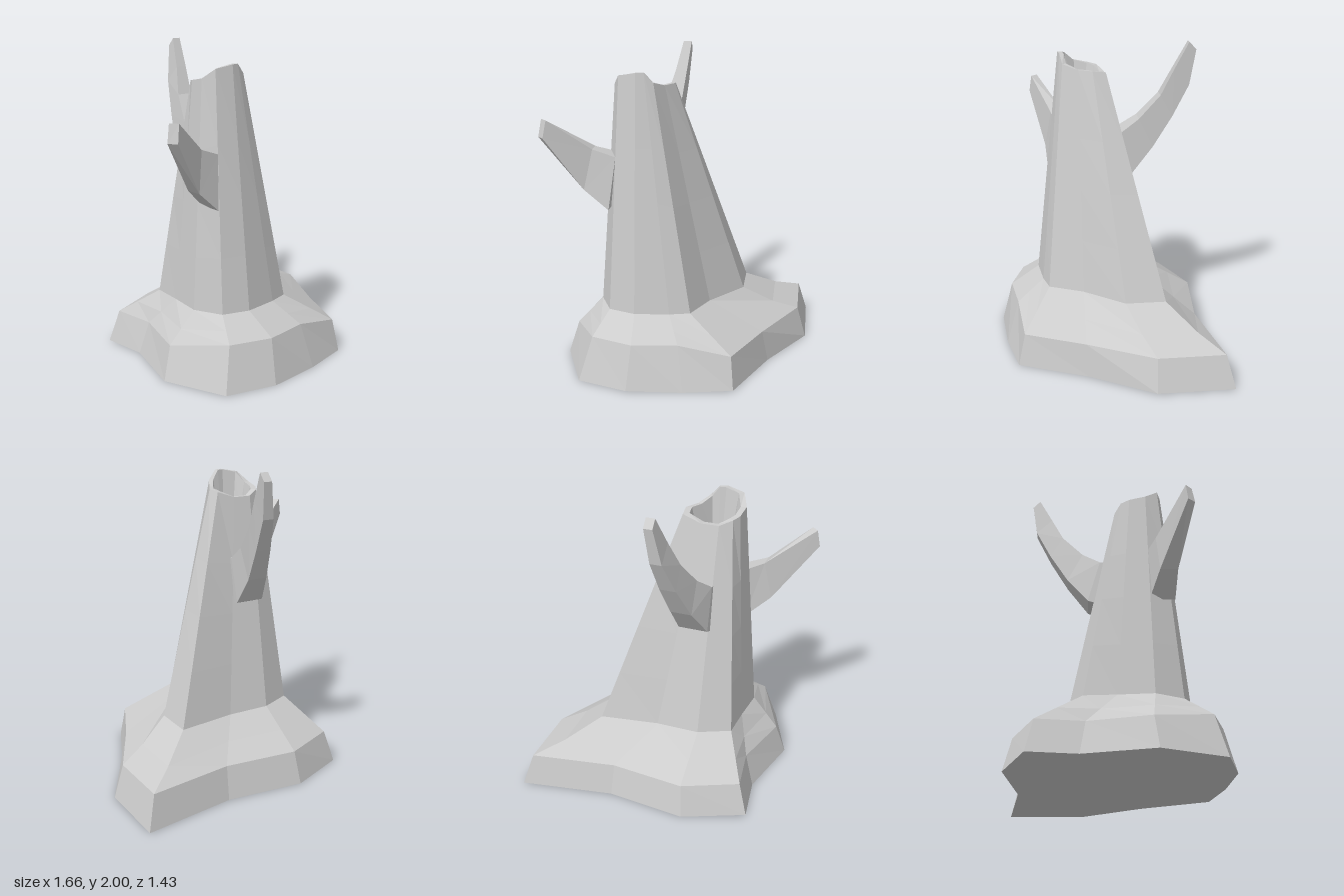
import * as THREE from 'three';

const material = new THREE.MeshStandardMaterial({ color: 0xcccccc, flatShading: true });

// Skins a list of equal-length rings of [x, y, z] and closes both ends.
// Rings run clockwise when seen from the last ring.
function loft(name, rings) {
  const pos = [];
  const tri = (...p) => p.forEach(v => pos.push(...v));
  const n = rings[0].length;
  const mid = r => [0, 1, 2].map(k => r.reduce((s, p) => s + p[k], 0) / n);
  const first = rings[0], last = rings[rings.length - 1];
  for (let j = 0; j < n; j++) {
    const k = (j + 1) % n;
    for (let i = 0; i < rings.length - 1; i++) {
      const lo = rings[i], hi = rings[i + 1];
      tri(lo[j], hi[j], hi[k]);
      tri(lo[j], hi[k], lo[k]);
    }
    tri(mid(first), first[j], first[k]);
    tri(mid(last), last[k], last[j]);
  }
  const geo = new THREE.BufferGeometry();
  geo.setAttribute('position', new THREE.Float32BufferAttribute(pos, 3));
  geo.computeVertexNormals();
  const mesh = new THREE.Mesh(geo, material);
  mesh.name = name;
  return mesh;
}

const mix = (a, b, t) => a.map((p, j) => p.map((v, k) => v + (b[j][k] - v) * t));

// Outlines start at the back left corner and pass the back, the model's left and the front.
function createTrunk() {
  const ground = [
    [-0.67, -0.51], [-0.28, -0.67], [0.23, -0.62], [0.83, -0.72], [0.83, -0.23], [0.59, 0.17],
    [0.40, 0.61], [0.09, 0.68], [-0.26, 0.71], [-0.58, 0.62], [-0.745, 0.225], [-0.63, -0.21],
  ].map(([x, z]) => [x, 0, z]);
  const shoulder = [
    [-0.61, 0.21, -0.47], [-0.26, 0.21, -0.62], [0.22, 0.21, -0.575], [0.77, 0.21, -0.665],
    [0.77, 0.21, -0.235], [0.55, 0.21, 0.185], [0.38, 0.21, 0.565], [0.05, 0.28, 0.60],
    [-0.235, 0.28, 0.64], [-0.50, 0.28, 0.555], [-0.68, 0.21, 0.20], [-0.57, 0.21, -0.18],
  ];
  const foot = [
    [-0.465, -0.20], [-0.26, -0.29], [0.02, -0.29], [0.40, -0.345], [0.40, -0.085], [0.20, 0.17],
    [0.10, 0.39], [-0.03, 0.425], [-0.25, 0.45], [-0.42, 0.395], [-0.505, 0.22], [-0.48, 0],
  ].map(([x, z]) => [x, 0.405, z]);
  // Broken rim with uneven heights
  const rim = [
    [-0.36, 1.80, 0.025], [-0.285, 1.77, -0.015], [-0.17, 1.77, -0.015], [-0.05, 1.81, -0.005],
    [-0.04, 1.82, 0.08], [-0.09, 1.82, 0.17], [-0.145, 1.85, 0.265], [-0.20, 1.91, 0.28],
    [-0.25, 1.91, 0.29], [-0.36, 1.89, 0.265], [-0.40, 1.83, 0.185], [-0.39, 1.81, 0.08],
  ];
  // Sagging root slope on the long side
  const slope = mix(shoulder, foot, 0.46);
  for (const j of [3, 4]) slope[j][1] = 0.28;
  // Hollow inside the rim
  const shrink = (s, y) => rim.map(p => [-0.22 + (p[0] + 0.22) * s, y ?? p[1], 0.14 + (p[2] - 0.14) * s]);
  return loft('trunk', [
    ground, shoulder, slope, foot,
    mix(foot, rim, 0.235), mix(foot, rim, 0.47), mix(foot, rim, 0.7), rim,
    shrink(0.8), shrink(0.58, 1.62),
  ]);
}

// Each row: x and y of the top edge, x and y of the bottom edge, z range of each
function createSideBranch() {
  const rows = [
    [-0.38, 1.39, 0.17, 0.31, -0.42, 1.06, 0.20, 0.36],
    [-0.52, 1.44, 0.24, 0.33, -0.57, 1.19, 0.26, 0.37],
    [-0.79, 1.64, 0.41, 0.45, -0.81, 1.53, 0.42, 0.465],
  ];
  return loft('sideBranch', rows.map(([tx, ty, ta, tb, bx, by, ba, bb], i) => {
    const skew = i === 2 ? 0.02 : 0;
    return [[tx - skew, ty, ta], [tx + skew, ty, tb], [bx + skew, by, bb], [bx - skew, by, ba]];
  }));
}

// Each row: x range, then y and z of the top edge and of the bottom edge
function createBackBranch() {
  const rows = [
    [-0.29, -0.10, 1.39, 0.00, 1.08, -0.08],
    [-0.28, -0.09, 1.40, -0.11, 1.12, -0.185],
    [-0.22, -0.085, 1.49, -0.225, 1.30, -0.32],
    [-0.165, -0.06, 1.65, -0.36, 1.51, -0.44],
    [-0.115, -0.04, 1.82, -0.44, 1.72, -0.54],
    [-0.075, -0.02, 2.00, -0.53, 1.95, -0.575],
  ];
  return loft('backBranch', rows.map(([a, b, ty, tz, by, bz]) =>
    [[b, ty, tz], [a, ty, tz], [a, by, bz], [b, by, bz]]));
}

export function createModel() {
  const group = new THREE.Group();
  group.name = 'treeStump';
  group.add(createTrunk(), createSideBranch(), createBackBranch());
  return group;
}
